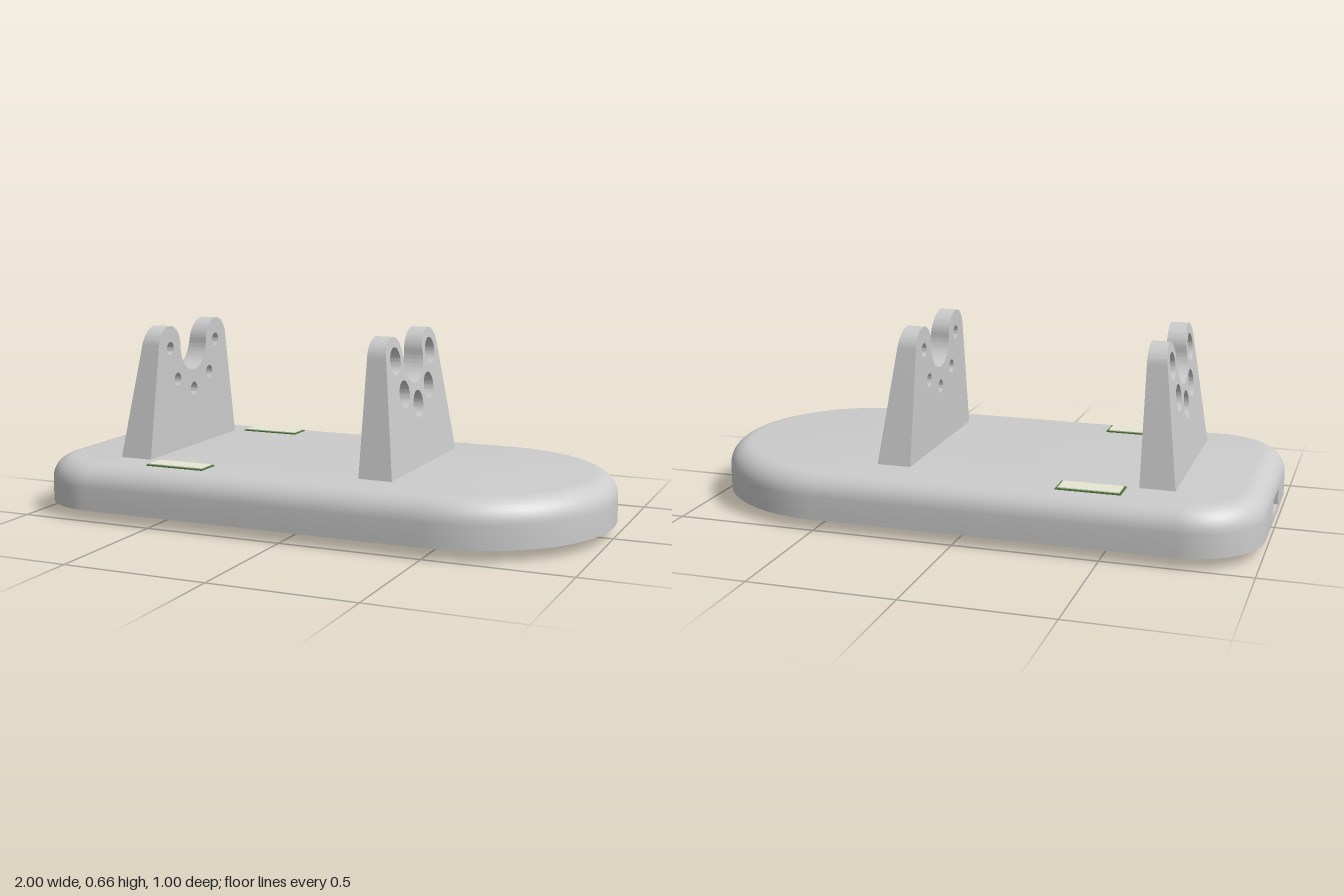
import * as THREE from 'three';
import { toCreasedNormals } from 'three/addons/utils/BufferGeometryUtils.js';

const mat = (color = 0xcccccc) => new THREE.MeshStandardMaterial({ color });
const GREY = mat(), GREEN = mat(0x4f7a3c), CREAM = mat(0xe6e6d4);
const PORT = { halfWidth: 0.075, low: 0.06, high: 0.12 };
const WALL = 0.03;

function mesh(name, geometry, material = GREY) {
  const m = new THREE.Mesh(geometry, material);
  m.name = name;
  return m;
}

// Plan outline [x, z], anticlockwise from above: round +x end, rounded corners at -x
const ROUND = 48, CORNER = 20;
const PORT_COLUMN = ROUND + CORNER + 2;
function outline(inset) {
  const pts = [];
  const arc = (cx, cz, r, from, to, n) => {
    for (let i = 0; i <= n; i++) {
      const a = from + (to - from) * i / n;
      pts.push([cx + r * Math.cos(a), cz - r * Math.sin(a)]);
    }
  };
  const P = Math.PI;
  arc(0.5, 0, 0.5 - inset, -P / 2, P / 2, ROUND);
  arc(-0.75, -0.25, 0.25 - inset, P / 2, P, CORNER);
  pts.push([-1 + inset, -PORT.halfWidth], [-1 + inset, PORT.halfWidth]);
  arc(-0.75, 0.25, 0.25 - inset, P, 1.5 * P, CORNER);
  return pts;
}

// Lofts the outline through [inset, y] steps and caps both ends
function loft(profile, withPort = false) {
  const pos = [];
  const rings = profile.map(([inset, y]) => outline(inset).map(([x, z]) => [x, y, z]));
  const tri = (a, b, c) => pos.push(...a, ...b, ...c);
  const quad = (a, b, c, d) => { tri(a, b, c); tri(a, c, d); };
  const n = rings[0].length, last = rings.length - 1;
  for (let i = 0; i < last; i++) {
    const ys = [profile[i][1], profile[i + 1][1]];
    const portRow = withPort && ys.includes(PORT.low) && ys.includes(PORT.high);
    for (let j = 0; j < n; j++) {
      if (portRow && j === PORT_COLUMN) continue;
      const k = (j + 1) % n;
      quad(rings[i][j], rings[i][k], rings[i + 1][k], rings[i + 1][j]);
    }
  }
  for (let j = 0; j < n; j++) {
    const k = (j + 1) % n;
    tri([0, profile[0][1], 0], rings[0][k], rings[0][j]);
    tri([0, profile[last][1], 0], rings[last][j], rings[last][k]);
  }
  // Side walls of the port opening
  if (withPort) {
    const { halfWidth: w, low, high } = PORT;
    const rim = [[low, -w], [low, w], [high, w], [high, -w]];
    rim.forEach(([y, z], i) => {
      const [y2, z2] = rim[(i + 1) % 4];
      quad([-1, y, z], [-1, y2, z2], [-1 + WALL, y2, z2], [-1 + WALL, y, z]);
    });
  }
  const g = new THREE.BufferGeometry();
  g.setAttribute('position', new THREE.Float32BufferAttribute(pos, 3));
  return toCreasedNormals(g, 0.5);
}

// Quarter-round steps for a profile
function fillet(inset, y, r, from, to, n = 8) {
  return Array.from({ length: n + 1 }, (_, i) => {
    const a = from + (to - from) * i / n;
    return [inset - r * Math.cos(a), y + r * Math.sin(a)];
  });
}

// Bracket silhouette with two ears, a U-shaped saddle and five holes
function bracketShape(holeRadius) {
  const s = new THREE.Shape();
  s.moveTo(-0.32, 0.2);
  s.lineTo(0.32, 0.2);
  s.absarc(0.172, 0.585, 0.077, 0.18, Math.PI, false);
  s.absarc(0, 0.58, 0.095, 0, Math.PI, true);
  s.absarc(-0.172, 0.585, 0.077, 0, Math.PI - 0.18, false);
  s.closePath();
  for (const [x, y] of [[-0.168, 0.58], [0.168, 0.58], [-0.118, 0.462], [0.118, 0.462], [0, 0.413]]) {
    s.holes.push(new THREE.Path().absarc(x, y, holeRadius, 0, Math.PI * 2, true));
  }
  return s;
}

function createBracket(name) {
  const g = new THREE.Group();
  g.name = name;
  const floor = 0.03;
  const opts = { depth: floor, bevelEnabled: false, curveSegments: 24 };
  const inner = new THREE.ExtrudeGeometry(bracketShape(0.024), opts);
  const outer = new THREE.ExtrudeGeometry(bracketShape(0.047), opts);
  // Slope the outer face so the bracket is thicker at its foot
  const p = outer.attributes.position;
  for (let i = 0; i < p.count; i++) {
    const far = p.getZ(i) > floor / 2;
    p.setZ(i, far ? 0.06 + 0.06 * (0.662 - p.getY(i)) / 0.462 : floor);
  }
  for (const [part, geo] of [['bracketInnerPlate', inner], ['bracketCounterboredPlate', outer]]) {
    geo.rotateY(Math.PI / 2);
    g.add(mesh(part, toCreasedNormals(geo, 0.5)));
  }
  return g;
}

// Board with four screw holes
function createBoard() {
  const s = new THREE.Shape(outline(WALL + 0.006).map(([x, z]) => new THREE.Vector2(x, -z)));
  for (const side of [-1, 1]) {
    for (const [x, z] of [[0.6, 0.405], [-0.87, 0.37]]) {
      s.holes.push(new THREE.Path().absarc(x, side * z, 0.017, 0, Math.PI * 2, true));
    }
  }
  const geo = new THREE.ExtrudeGeometry(s, { depth: 0.02, bevelEnabled: false, curveSegments: 16 });
  geo.rotateX(-Math.PI / 2).translate(0, 0.048, 0);
  return mesh('circuitBoard', toCreasedNormals(geo, 0.5), GREEN);
}

export function createModel() {
  const model = new THREE.Group();
  model.name = 'mountingBase';

  // Hollow housing: inside wall, bottom rim, outside wall, rounded top edge
  model.add(mesh('housing', loft([
    [WALL, 0.17], [WALL, PORT.high], [WALL, PORT.low], [WALL, 0.038],
    [0, 0.038], [0, PORT.low],
    ...fillet(0.08, PORT.high, 0.08, 0, Math.PI / 2),
  ], true)));

  model.add(createBoard());

  // Bottom cover with rounded lower edge
  model.add(mesh('bottomCover', loft([
    ...fillet(0.163, 0.038, 0.038, -Math.PI / 2, 0), [0.125, 0.06],
  ])));

  // Two brackets with their flat faces toward each other
  const left = createBracket('leftBracket');
  left.position.x = 0.21;
  const right = createBracket('rightBracket');
  right.position.x = -0.59;
  right.rotation.y = Math.PI;
  model.add(left, right);

  // Light pads with a thin green border
  for (const side of [-1, 1]) {
    const pad = new THREE.Group();
    pad.name = side > 0 ? 'frontPad' : 'backPad';
    const border = mesh('padBorder', new THREE.BoxGeometry(0.22, 0.01, 0.09), GREEN);
    border.position.y = 0.199;
    const face = mesh('padFace', new THREE.BoxGeometry(0.206, 0.014, 0.076), CREAM);
    face.position.y = 0.2;
    pad.add(border, face);
    pad.position.set(-0.44, 0, side * 0.372);
    model.add(pad);
  }
  return model;
}
